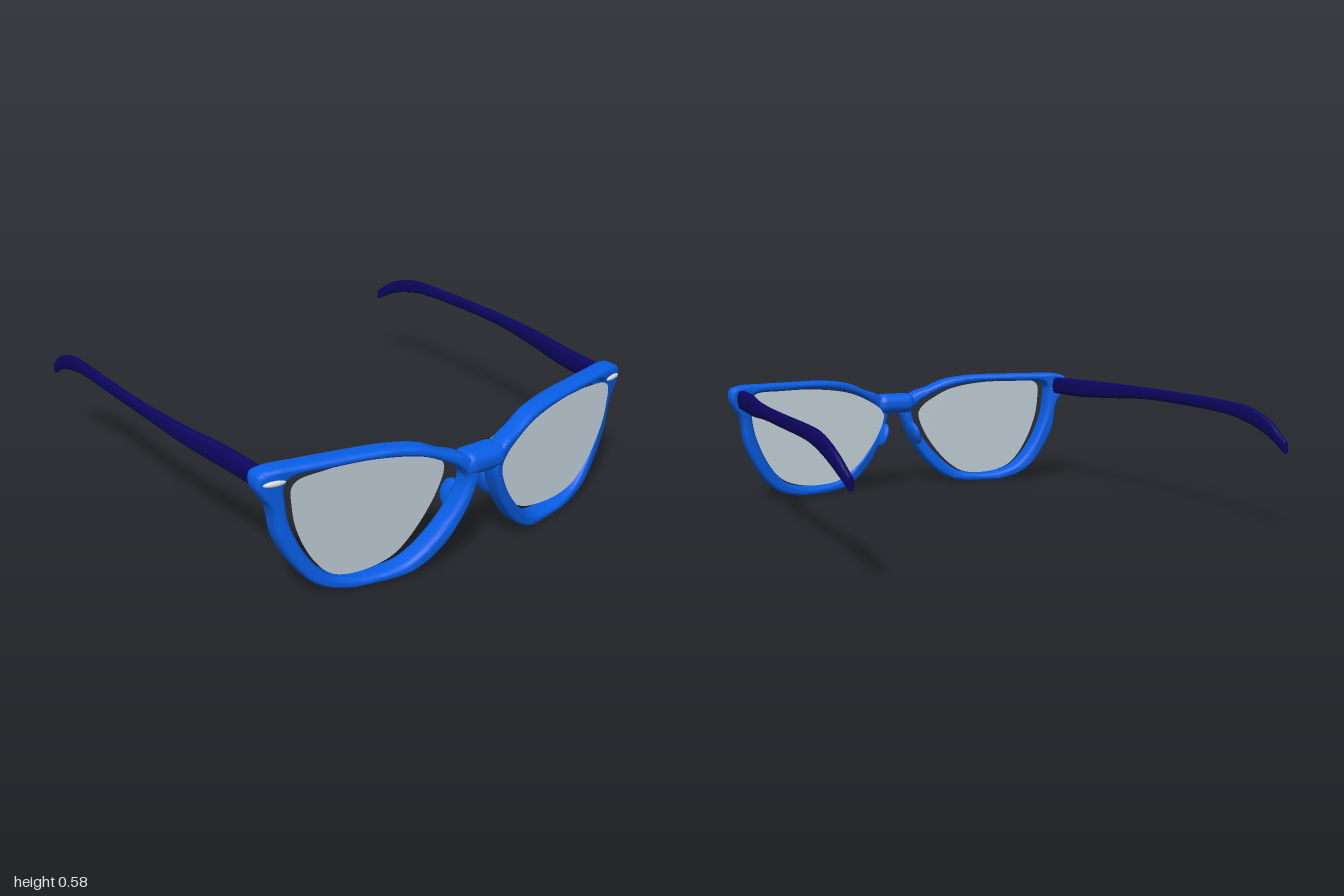
import * as THREE from 'three';
import { toCreasedNormals } from 'three/addons/utils/BufferGeometryUtils.js';
import { RoundedBoxGeometry } from 'three/addons/geometries/RoundedBoxGeometry.js';

const mat = (name, color, side = THREE.FrontSide) => {
  const m = new THREE.MeshStandardMaterial({ color, side });
  m.name = name;
  return m;
};

// Front outlines of one half, as [x, y]
const OUTER = [[0.04, 0.39], [0.055, 0.445], [0.11, 0.488], [0.18, 0.512], [0.27, 0.55], [0.4, 0.57], [0.6, 0.574],
  [0.75, 0.574], [0.87, 0.572], [0.915, 0.555], [0.922, 0.51], [0.9, 0.46], [0.87, 0.41], [0.848, 0.28], [0.785, 0.15],
  [0.705, 0.055], [0.6, 0.01], [0.47, 0], [0.31, 0.015], [0.2, 0.085], [0.11, 0.2], [0.06, 0.31]];
const HOLE = [[0.09, 0.385], [0.115, 0.425], [0.18, 0.467], [0.28, 0.51], [0.47, 0.537], [0.65, 0.536], [0.79, 0.53],
  [0.817, 0.505], [0.817, 0.43], [0.8, 0.33], [0.735, 0.185], [0.65, 0.085], [0.56, 0.048], [0.44, 0.04],
  [0.335, 0.06], [0.23, 0.14], [0.125, 0.28]];

// The front sweeps back from the bridge
const frontZ = (x) => 0.96 - 0.22 * Math.abs(x);

// Smooth closed outline on side s, optionally shrunk about its centre
function outline(points, s, shrink = 1) {
  const cx = 0.455, cy = 0.3;
  const curve = new THREE.CatmullRomCurve3(
    points.map(([x, y]) => new THREE.Vector3(s * (cx + (x - cx) * shrink), cy + (y - cy) * shrink, 0)), true);
  return curve.getPoints(110).slice(0, -1).map((p) => new THREE.Vector2(p.x, p.y));
}

function rimGeometry(s) {
  const shape = new THREE.Shape(outline(OUTER, s));
  // The hole must wind against the outline
  shape.holes.push(new THREE.Path(outline(HOLE, s).reverse()));
  const geo = new THREE.ExtrudeGeometry(shape, {
    depth: 0.04, bevelThickness: 0.025, bevelSize: 0.015, bevelOffset: -0.015, bevelSegments: 4,
  });
  const p = geo.attributes.position;
  for (let i = 0; i < p.count; i++) p.setZ(i, p.getZ(i) - 0.02 + frontZ(p.getX(i)));
  return toCreasedNormals(geo, 0.7);
}

// Temple stations: z, x, bottom y, top y, half thickness
const TEMPLE = [[0.75, 0.865, 0.465, 0.552, 0.025], [0.5, 0.888, 0.465, 0.555, 0.024], [0.27, 0.927, 0.478, 0.555, 0.021],
  [0, 0.956, 0.495, 0.553, 0.017], [-0.3, 0.968, 0.494, 0.55, 0.016], [-0.58, 0.97, 0.486, 0.545, 0.016],
  [-0.74, 0.97, 0.462, 0.532, 0.016], [-0.88, 0.967, 0.42, 0.487, 0.015], [-1, 0.955, 0.36, 0.412, 0.012]];

function templeGeometry(s) {
  const path = new THREE.CatmullRomCurve3(
    TEMPLE.map(([z, x, lo, hi]) => new THREE.Vector3(s * x, (lo + hi) / 2, z)), false, 'catmullrom');
  const size = new THREE.CatmullRomCurve3(
    TEMPLE.map(([, , lo, hi, h]) => new THREE.Vector3(h, (hi - lo) / 2, 0)), false, 'catmullrom');
  const rings = 48, sides = 16, pos = [], idx = [];
  const round = (v) => Math.sign(v) * Math.abs(v) ** 0.7;
  for (let i = 0; i <= rings; i++) {
    const c = path.getPoint(i / rings), r = size.getPoint(i / rings);
    for (let j = 0; j < sides; j++) {
      const a = (j / sides) * Math.PI * 2;
      pos.push(c.x + r.x * round(Math.cos(a)), c.y + r.y * round(Math.sin(a)), c.z);
      const n = (j + 1) % sides, k = i * sides;
      if (i < rings) idx.push(k + j, k + sides + j, k + n, k + n, k + sides + j, k + sides + n);
    }
  }
  // End caps
  const last = rings * sides;
  for (let j = 1; j < sides - 1; j++) idx.push(0, j, j + 1, last, last + j + 1, last + j);
  const geo = new THREE.BufferGeometry();
  geo.setAttribute('position', new THREE.Float32BufferAttribute(pos, 3));
  geo.setIndex(idx);
  return toCreasedNormals(geo, 0.9);
}

export function createModel() {
  const blue = mat('frame blue', 0x0860ea);
  const navy = mat('temple navy', 0x0c0660);
  const glass = mat('lens grey', 0xc6d3dd, THREE.DoubleSide);
  const silver = mat('accent silver', 0xd6d8da);

  const model = new THREE.Group();
  model.name = 'glasses';
  const add = (name, geo, material, x = 0, y = 0, z = 0) => {
    const mesh = new THREE.Mesh(geo, material);
    mesh.name = name;
    mesh.position.set(x, y, z);
    model.add(mesh);
    return mesh;
  };

  add('bridge', new RoundedBoxGeometry(0.21, 0.1, 0.126, 6, 0.045), blue, 0, 0.432, 0.935);

  for (const s of [1, -1]) {
    const side = s > 0 ? 'left' : 'right';
    add(side + 'Rim', rimGeometry(s), blue);
    add(side + 'Temple', templeGeometry(s), navy);

    // Flat lens, square to the front, with a hairline gap round it
    add(side + 'Lens', new THREE.ShapeGeometry(new THREE.Shape(outline(HOLE, s, 0.98))), glass, 0, 0, 0.843);

    // Nose pad on the inner back of the rim
    const pad = add(side + 'NosePad', new THREE.SphereGeometry(1, 20, 14), blue, s * 0.09, 0.275, 0.875);
    pad.scale.set(0.022, 0.062, 0.055);
    pad.rotation.z = s * 0.3;

    // Oval accent on the outer corner
    const accent = add(side + 'Accent', new THREE.SphereGeometry(1, 20, 12), silver, s * 0.862, 0.523, frontZ(0.862) + 0.045);
    accent.scale.set(0.045, 0.012, 0.012);
    accent.rotation.y = s * 0.2;
  }
  return model;
}
